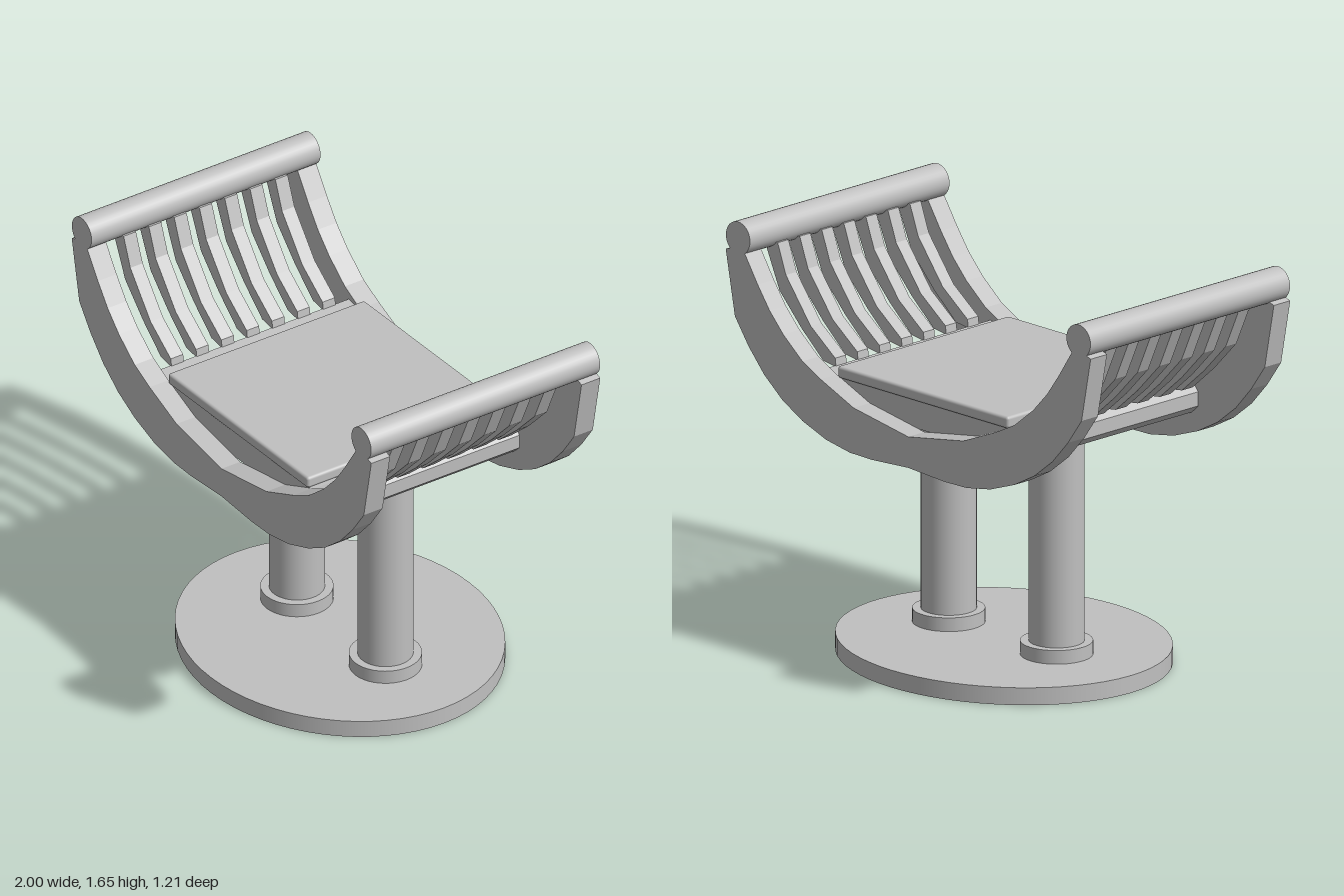
import * as THREE from 'three';
import { RoundedBoxGeometry } from 'three/addons/geometries/RoundedBoxGeometry.js';

export function createModel() {
  const model = new THREE.Group();
  model.name = 'curvedBench';
  const grey = new THREE.MeshStandardMaterial({ color: 0xc0c0c0 });
  grey.name = 'plain grey';

  const add = (name, geometry, x = 0, y = 0, z = 0) => {
    const mesh = new THREE.Mesh(geometry, grey);
    mesh.name = name;
    mesh.position.set(x, y, z);
    model.add(mesh);
    return mesh;
  };
  // extrude an x-y outline between two depths
  const slab = (name, points, z0, z1) => {
    const shape = new THREE.Shape(points.map(([x, y]) => new THREE.Vector2(x, y)));
    return add(name, new THREE.ExtrudeGeometry(shape, { depth: z1 - z0, bevelEnabled: false }), 0, 0, z0);
  };
  const flip = (points) => points.map(([x, y]) => [-x, y]);
  // full outline from its right half, listed from the lower centre to the upper centre
  const mirrored = (half) => [...half, ...flip(half.filter(([x]) => x > 0)).reverse()];

  const front = 0.552, back = -0.525, thick = 0.088, mid = (front + back) / 2;

  // oval base
  const base = add('base', new THREE.CylinderGeometry(1, 1, 0.07, 64), 0.008, 0.035, 0);
  base.scale.set(0.693, 1, 0.605);

  // two columns with collars
  for (const x of [-0.28, 0.311]) {
    add('column', new THREE.CylinderGeometry(0.108, 0.108, 0.95, 40), x, 0.535, 0);
    add('columnCollar', new THREE.CylinderGeometry(0.141, 0.141, 0.065, 40), x, 0.0925, 0);
  }

  // curved side frames at front and back
  const frame = mirrored([
    [0, 0.87], [0.2, 0.858], [0.32, 0.86], [0.45, 0.883], [0.58, 0.93], [0.69, 0.99],
    [0.79, 1.07], [0.875, 1.165], [0.95, 1.27], [1, 1.53], [0.94, 1.55], [0.9, 1.54],
    [0.825, 1.425], [0.76, 1.335], [0.685, 1.255], [0.58, 1.17], [0.48, 1.12],
    [0.3, 1.045], [0, 0.995],
  ].slice(0, -1).concat([[0, 0.995]]));
  slab('frontFrame', frame, front - thick, front);
  slab('backFrame', frame, back, back + thick);

  // seat body between the frames
  slab('seat', mirrored([
    [0, 1.0], [0.55, 1.0], [0.585, 1.033], [0.585, 1.09], [0.555, 1.125], [0.48, 1.115], [0, 1.115],
  ]), back + thick, front - thick);

  // seat pad
  add('seatPad', new RoundedBoxGeometry(0.935, 0.048, 0.925, 3, 0.012), -0.002, 1.137, 0.012);

  // curved slats and roll handles at both ends
  const slat = [
    [0.55, 1.12], [0.62, 1.13], [0.74, 1.235], [0.86, 1.36], [0.945, 1.55],
    [0.87, 1.55], [0.825, 1.43], [0.69, 1.255], [0.555, 1.155],
  ];
  for (const side of [1, -1]) {
    const outline = side > 0 ? slat : flip(slat);
    for (let i = -3; i <= 3; i++) {
      const z = mid + i * 0.119;
      slab('slat', outline, z - 0.029, z + 0.029);
    }
    const roll = add('rollHandle', new THREE.CylinderGeometry(0.066, 0.066, front - back, 32), side * 0.933, 1.588, mid);
    roll.rotation.x = Math.PI / 2;
  }
  return model;
}
